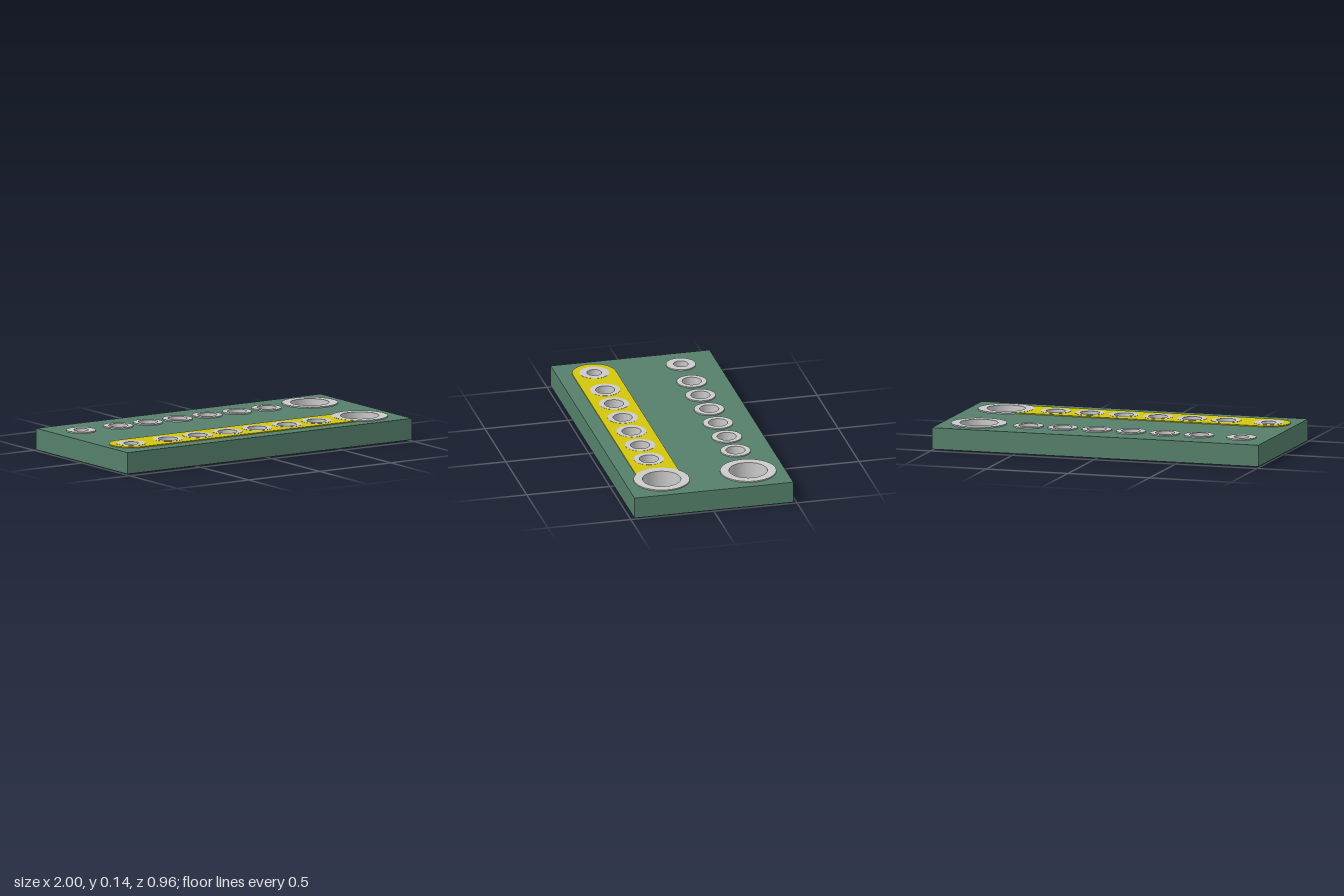
import * as THREE from 'three';

const HEIGHT = 0.141, FACE = 0.007, SEGMENTS = 32;
const BIG = { x: 0.78, outer: 0.164, bore: 0.112 };
const END = { x: -0.828, outer: 0.087, bore: 0.043 };
const PADS = [END, BIG];
for (let i = 0; i < 6; i++) PADS.push({ x: -0.568 + i * 0.2088, outer: 0.088, bore: 0.056 });
const ROWS = [-0.262, 0.259];

const material = (color) => new THREE.MeshStandardMaterial({ color });

function punch(shape, x, z, r) {
  shape.holes.push(new THREE.Path().absarc(x, -z, r, 0, Math.PI * 2, true));
}

// Plan shape extruded upwards from y0 to y1
function slab(name, shape, y0, y1, mat) {
  const geo = new THREE.ExtrudeGeometry(shape, { depth: y1 - y0, bevelEnabled: false, curveSegments: SEGMENTS });
  geo.rotateX(-Math.PI / 2).translate(0, y0, 0);
  const mesh = new THREE.Mesh(geo, mat);
  mesh.name = name;
  return mesh;
}

// Plated hole: flanged sleeve with smooth walls and sharp rims
function platedHole({ x, outer, bore }, z, mat) {
  const neck = bore + 0.004, top = HEIGHT - FACE;
  const corners = [[bore, 0], [outer, 0], [outer, FACE], [neck, FACE], [neck, top],
    [outer, top], [outer, HEIGHT], [bore, HEIGHT], [bore, 0]];
  const group = new THREE.Group();
  group.name = 'platedHole';
  for (let i = 0; i < corners.length - 1; i++) {
    const pair = [corners[i], corners[i + 1]].map(([r, y]) => new THREE.Vector2(r, y));
    const mesh = new THREE.Mesh(new THREE.LatheGeometry(pair, SEGMENTS * 2), mat);
    mesh.name = 'sleeveWall';
    group.add(mesh);
  }
  group.position.set(x, 0, z);
  return group;
}

export function createModel() {
  const model = new THREE.Group();
  model.name = 'circuitBoard';
  const green = material(0x55806b), yellow = material(0xd4c610), metal = material(0xcccccc);

  // Board with drilled holes
  const plan = new THREE.Shape();
  plan.moveTo(-1, -0.478).lineTo(1, -0.478).lineTo(1, 0.478).lineTo(-1, 0.478).closePath();
  for (const z of ROWS) for (const p of PADS) punch(plan, p.x, z, p.bore + 0.003);
  model.add(slab('board', plan, FACE, HEIGHT - FACE, green));

  // Rounded strip around the front row, on both faces
  const z = ROWS[1], r = 0.129;
  const strip = new THREE.Shape();
  strip.absarc(END.x, -z, r, Math.PI / 2, Math.PI * 1.5, false);
  strip.absarc(BIG.x, -z, r, -Math.PI / 2, Math.PI / 2, false);
  strip.closePath();
  for (const p of PADS) punch(strip, p.x, z, p === BIG ? p.bore + 0.003 : p.outer - 0.001);
  model.add(slab('topStrip', strip, HEIGHT - FACE, HEIGHT - 0.001, yellow));
  model.add(slab('bottomStrip', strip, 0.001, FACE, yellow));

  // Two rows of plated holes
  for (const row of ROWS) for (const p of PADS) model.add(platedHole(p, row, metal));
  return model;
}
